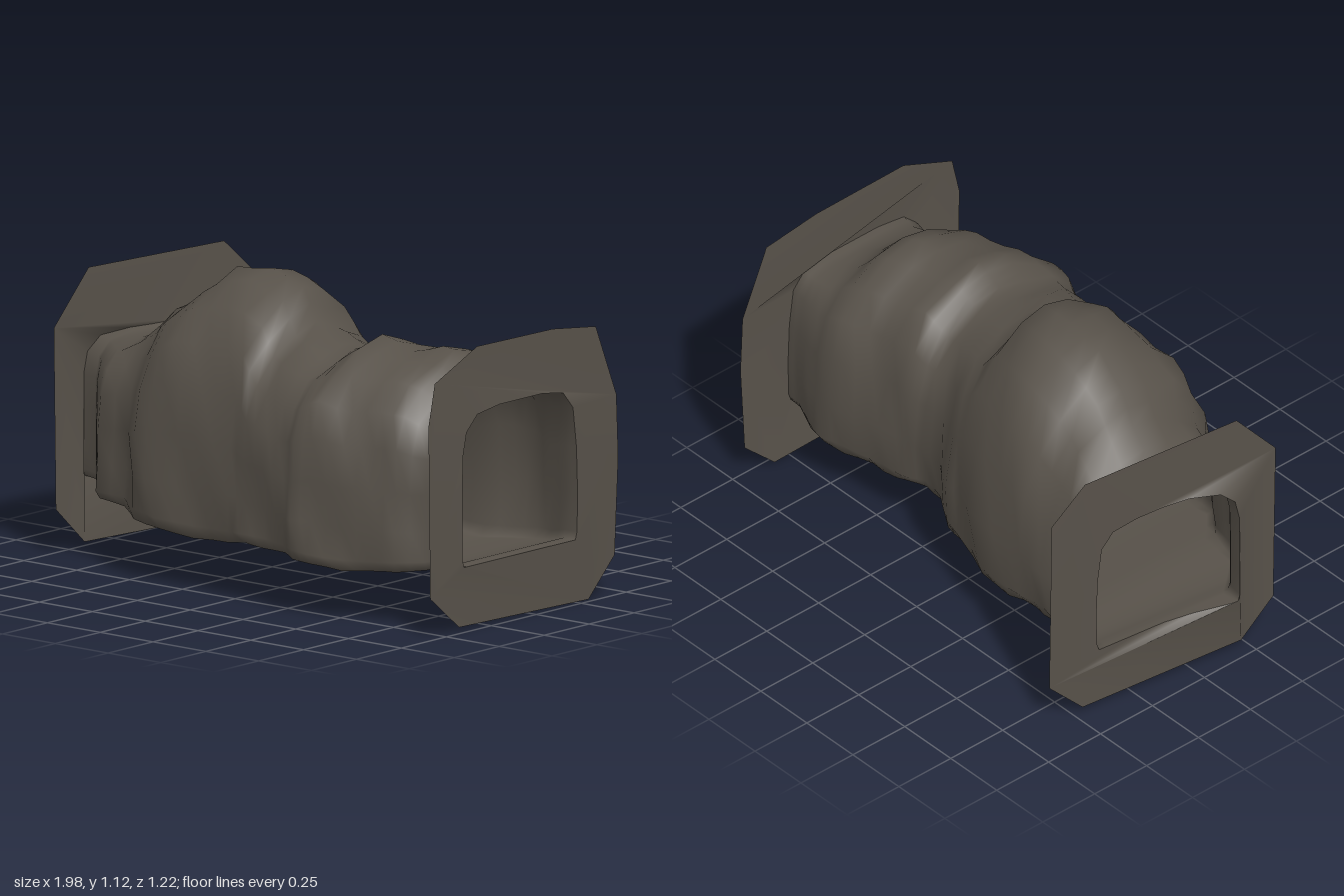
import * as THREE from 'three';

const rock = new THREE.MeshStandardMaterial({ color: 0x58524a, side: THREE.DoubleSide });
rock.name = 'dark rock';

// Stations along the tunnel: x, top, bottom, back z, front z
const STATIONS = [
  [-0.925, 0.785, 0.26, -0.41, 0.175], [-0.89, 0.775, 0.255, -0.40, 0.20],
  [-0.83, 0.78, 0.24, -0.40, 0.27], [-0.76, 0.80, 0.235, -0.40, 0.355],
  [-0.62, 0.93, 0.235, -0.405, 0.39], [-0.5, 1.0, 0.22, -0.40, 0.49],
  [-0.37, 1.09, 0.205, -0.405, 0.51], [-0.2, 1.125, 0.195, -0.385, 0.505],
  [-0.02, 1.08, 0.205, -0.325, 0.52], [0.06, 0.96, 0.22, -0.31, 0.54],
  [0.18, 0.93, 0.22, -0.23, 0.555], [0.29, 0.905, 0.22, -0.22, 0.58],
  [0.35, 0.93, 0.21, -0.235, 0.605], [0.42, 0.975, 0.20, -0.24, 0.59],
  [0.55, 0.945, 0.19, -0.25, 0.56], [0.66, 0.955, 0.195, -0.29, 0.525],
  [0.75, 0.94, 0.20, -0.305, 0.50], [0.84, 0.84, 0.21, -0.28, 0.43],
  [0.93, 0.80, 0.235, -0.25, 0.39], [0.987, 0.805, 0.235, -0.245, 0.395],
];

// Unit cross-sections (u across, v up): domed in the middle, squarer at the mouths
const DOME = [[-0.94, 0], [-0.85, 0], [-0.4, 0], [0, 0], [0.4, 0], [0.9, 0], [0.97, 0], [1, 0.05],
  [0.98, 0.2], [0.99, 0.4], [0.95, 0.6], [0.84, 0.76], [0.62, 0.885], [0.3, 0.965], [0, 1],
  [-0.3, 0.97], [-0.62, 0.88], [-0.83, 0.74], [-0.95, 0.54], [-1, 0.27], [-0.98, 0.05]];
const MOUTH = [[-0.96, 0], [-0.85, 0], [-0.4, 0], [0, 0], [0.4, 0], [0.9, 0], [0.97, 0], [1, 0.05],
  [1, 0.25], [1, 0.5], [0.99, 0.72], [0.93, 0.87], [0.74, 0.97], [0.35, 1], [0, 1],
  [-0.4, 1], [-0.75, 0.97], [-0.92, 0.86], [-0.98, 0.6], [-1, 0.3], [-0.99, 0.05]];

const smooth = THREE.MathUtils.smoothstep;
const lerp = THREE.MathUtils.lerp;

// The left mouth is skewed in plan
function skew(x, z) {
  return x - 0.12 * z * (1 - smooth(x, -0.93, -0.6));
}

function crossSection([x, top, bottom, back, front]) {
  const mid = smooth(x, -0.9, -0.6) * (1 - smooth(x, 0.75, 0.96));
  // The tall hump narrows towards its crown
  const hump = mid * (1 - smooth(x, -0.05, 0.2));
  return DOME.map(([u, v], j) => {
    const vv = lerp(MOUTH[j][1], v, mid);
    const uu = lerp(MOUTH[j][0], u, mid) * (1 - 0.15 * hump * vv * vv);
    // Rough, uneven rock
    const bump = mid * 0.006 * (Math.sin(x * 17 + j * 1.9) + Math.sin(x * 31 - j * 2.7));
    const z = lerp(back, front, (uu + 1) / 2) + bump * uu;
    const y = lerp(bottom, top, vv) + bump * vv;
    return [skew(x, z), y, z];
  });
}

// Add a halfway ring between neighbouring stations
function rings() {
  const out = [];
  STATIONS.forEach((s, i) => {
    out.push(crossSection(s));
    const n = STATIONS[i + 1];
    if (n) out.push(crossSection(s.map((a, k) => (a + n[k]) / 2)));
  });
  return out;
}

function tunnelGeometry(list) {
  const n = DOME.length, index = [];
  for (let i = 0; i < list.length - 1; i++) {
    for (let j = 0; j < n; j++) {
      const a = i * n + j, b = i * n + (j + 1) % n;
      index.push(a, a + n, b, b, a + n, b + n);
    }
  }
  const g = new THREE.BufferGeometry();
  g.setAttribute('position', new THREE.Float32BufferAttribute(list.flat(2), 3));
  g.setIndex(index);
  g.computeVertexNormals();
  return g;
}

// Collar round a mouth: outline of z, y pairs, its rim placed in x by rimX, its hole on the mouth
function collar(name, outline, mouth, rimX) {
  const shape = new THREE.Shape(outline.map(([z, y]) => new THREE.Vector2(z, y)));
  shape.holes.push(new THREE.Path(mouth.map(([, y, z]) => new THREE.Vector2(z, y))));
  const g = new THREE.ShapeGeometry(shape);
  const p = g.attributes.position;
  for (let i = 0; i < p.count; i++) {
    const z = p.getX(i), y = p.getY(i);
    const lip = mouth.find((m) => Math.abs(m[2] - z) < 1e-4 && Math.abs(m[1] - y) < 1e-4);
    p.setXYZ(i, lip ? lip[0] : rimX(z), y, z);
  }
  g.computeVertexNormals();
  const mesh = new THREE.Mesh(g, rock);
  mesh.name = name;
  return mesh;
}

export function createModel() {
  const group = new THREE.Group();
  group.name = 'rockTunnel';
  const list = rings();
  const leftMouth = list[0], rightMouth = list[list.length - 1];

  // Front lip of the left mouth stands proud
  leftMouth.forEach((p) => { p[0] -= 0.05 * smooth(p[2], -0.1, 0.17); });

  const tunnel = new THREE.Mesh(tunnelGeometry(list), rock);
  tunnel.name = 'tunnelWalls';
  group.add(tunnel);

  group.add(collar('skewedCollar', [
    [-0.46, 1.04], [-0.605, 0.91], [-0.615, 0.18], [-0.47, 0.03],
    [0.22, 0.03], [0.36, 0.17], [0.37, 0.84], [0.2, 1.04],
  ], leftMouth, (z) => skew(-0.925, z)));
  group.add(collar('straightCollar', [
    [0.57, 0.78], [0.535, 0.935], [0.3, 1.035], [-0.12, 1.03], [-0.36, 1.0], [-0.475, 0.73],
    [-0.485, 0.5], [-0.465, 0.14], [-0.32, 0.0], [0.4, 0.015], [0.56, 0.145],
  ], rightMouth, () => 0.975));
  return group;
}
